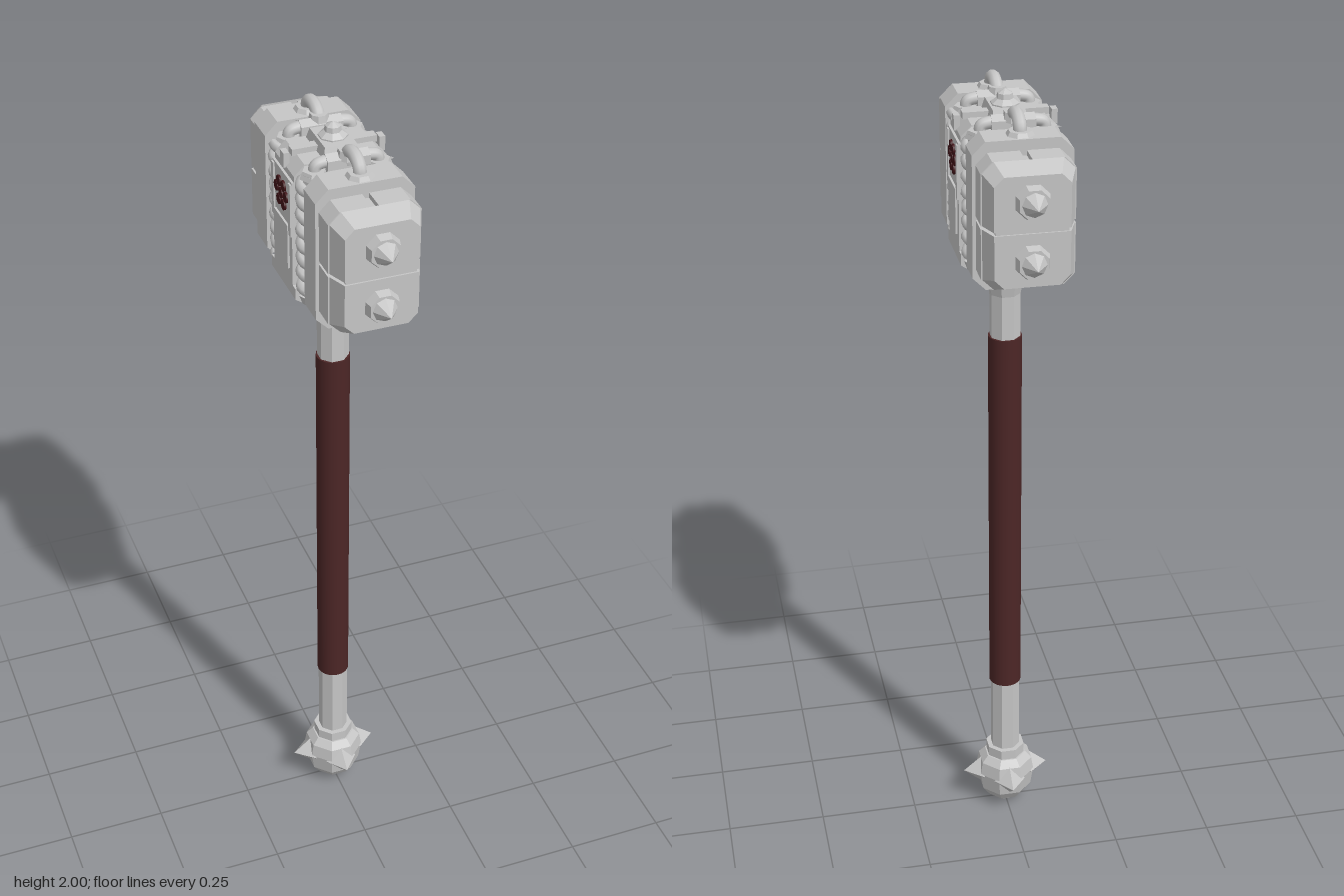
import * as THREE from 'three';

const metal = new THREE.MeshStandardMaterial({ color: 0xc6c6c6 });
metal.name = 'steel';
metal.flatShading = true;
const smoothMetal = metal.clone();
smoothMetal.flatShading = false;
smoothMetal.name = 'smoothSteel';
const leather = new THREE.MeshStandardMaterial({ color: 0x4c2626 });
leather.name = 'leather';
const emblemRed = new THREE.MeshStandardMaterial({ color: 0x421418 });
emblemRed.name = 'darkRed';

const MID = 1.775; // height of the middle of the head

function add(parent, name, geo, x = 0, y = 0, z = 0, mat = metal) {
  const m = new THREE.Mesh(geo, mat);
  m.name = name;
  m.position.set(x, y, z);
  parent.add(m);
  return m;
}
const box = (w, h, d) => new THREE.BoxGeometry(w, h, d);
// Upright prism with a flat side facing the front
const prism = (rTop, rBottom, h, n = 8) =>
  new THREE.CylinderGeometry(rTop, rBottom, h, n).rotateY(Math.PI / n);
const lathe = (pts, n) =>
  new THREE.LatheGeometry(pts.map(p => new THREE.Vector2(...p)), n).rotateY(Math.PI / n);

// Counter-clockwise chamfered rectangle
const octagon = (w, h, c) => [[w, -h + c], [w, h - c], [w - c, h], [-w + c, h],
  [-w, h - c], [-w, -h + c], [-w + c, -h], [w - c, -h]];
// Upper half of a chamfered rectangle, starting just above the middle gap
const half = (w, h, c) => [[w, 0.004], [w, h - c], [w - c, h], [-w + c, h], [-w, h - c], [-w, 0.004]];

// Solid through convex rings placed along z
function loft(rings) {
  const pos = [], idx = [], n = rings[0][1].length, last = (rings.length - 1) * n;
  rings.forEach(([z, pts]) => pts.forEach(p => pos.push(p[0], p[1], z)));
  for (let r = 0; r < rings.length - 1; r++) {
    for (let i = 0; i < n; i++) {
      const a = r * n + i, b = r * n + (i + 1) % n;
      idx.push(a, b, b + n, a, b + n, a + n);
    }
  }
  for (let i = 1; i < n - 1; i++) idx.push(0, i + 1, i, last, last + i, last + i + 1);
  const g = new THREE.BufferGeometry();
  g.setAttribute('position', new THREE.Float32BufferAttribute(pos, 3));
  g.setIndex(idx);
  const flat = g.toNonIndexed();
  flat.computeVertexNormals();
  return flat;
}
function extrude(pts, z0, z1) {
  const shape = new THREE.Shape(pts.map(p => new THREE.Vector2(...p)));
  return new THREE.ExtrudeGeometry(shape, { depth: z1 - z0, bevelEnabled: false }).translate(0, 0, z0);
}
function pipe(pts, r) {
  const curve = new THREE.CatmullRomCurve3(pts.map(p => new THREE.Vector3(...p)));
  return new THREE.TubeGeometry(curve, 24, r, 10);
}

class Helix extends THREE.Curve {
  constructor(radius, height, turns) {
    super();
    Object.assign(this, { radius, height, turns });
  }
  getPoint(t, v = new THREE.Vector3()) {
    const a = t * this.turns * Math.PI * 2;
    return v.set(Math.cos(a) * this.radius, t * this.height, Math.sin(a) * this.radius);
  }
}

function makeHandle() {
  const g = new THREE.Group();
  g.name = 'handle';
  add(g, 'shaft', prism(0.038, 0.038, 1.42), 0, 0.87);
  add(g, 'grip', new THREE.CylinderGeometry(0.041, 0.041, 1.0, 24), 0, 0.888, 0, leather);
  add(g, 'upperCollar', lathe([[0.038, 1.5], [0.043, 1.525], [0.054, 1.54], [0.054, 1.565],
    [0.062, 1.575], [0.062, 1.6]], 8));
  add(g, 'lowerCollar', prism(0.051, 0.051, 0.03), 0, 0.165);
  add(g, 'pommel', lathe([[0, 0], [0.026, 0.003], [0.032, 0.014], [0.05, 0.022], [0.07, 0.05],
    [0.078, 0.1], [0.072, 0.135], [0.055, 0.153], [0, 0.155]], 8));
  for (let i = 0; i < 4; i++) {
    const pivot = new THREE.Group();
    pivot.name = 'pommelSpike';
    pivot.rotation.y = i * Math.PI / 2;
    g.add(pivot);
    add(pivot, 'spike', new THREE.ConeGeometry(0.042, 0.05, 4).rotateX(Math.PI / 2), 0, 0.097, 0.088);
  }
  return g;
}

// One striking end of the head, facing +z
function makeEnd() {
  const g = new THREE.Group();
  g.name = 'strikingEnd';
  add(g, 'band', loft([[0.13, octagon(0.115, 0.175, 0.03)], [0.202, octagon(0.115, 0.175, 0.03)]]), 0, MID);

  // Two halves with a gap between them and a slot along the outer face
  const slotted = half(0.107, 0.15, 0.026);
  slotted.splice(3, 0, [0.008, 0.15], [0.008, 0.138], [-0.008, 0.138], [-0.008, 0.15]);
  for (const turn of [0, Math.PI]) {
    add(g, 'blockHalf', extrude(slotted, 0.2, 0.26), 0, MID).rotation.z = turn;
    add(g, 'faceHalf', loft([[0.26, half(0.104, 0.15, 0.026)],
      [0.306, half(0.086, 0.13, 0.022)]]), 0, MID).rotation.z = turn;
  }
  add(g, 'blockCore', box(0.165, 0.2, 0.1), 0, MID, 0.252);

  // Spiked studs
  for (const y of [1.705, 1.845]) {
    add(g, 'studBase', prism(0.036, 0.042, 0.022).rotateX(Math.PI / 2), 0, y, 0.316);
    add(g, 'studSpike', new THREE.ConeGeometry(0.029, 0.038, 8).rotateX(Math.PI / 2), 0, y, 0.346);
  }

  // Spring coils beside the centre block
  for (const s of [-1, 1]) {
    add(g, 'coil', new THREE.TubeGeometry(new Helix(0.027, 0.29, 8), 128, 0.0135, 6),
      s * 0.08, 1.63, 0.09, smoothMetal);
    add(g, 'coilCore', prism(0.022, 0.022, 0.32, 6), s * 0.08, 1.77, 0.09);
    add(g, 'coilTop', prism(0.027, 0.034, 0.018, 6), s * 0.075, 1.928, 0.085);
    add(g, 'coilFoot', prism(0.036, 0.028, 0.022, 6), s * 0.078, 1.615, 0.09);
    add(g, 'sidePipe', pipe([[s * 0.03, 1.952, 0.085], [s * 0.055, 1.952, 0.085],
      [s * 0.071, 1.946, 0.085], [s * 0.075, 1.92, 0.085]], 0.0145), 0, 0, 0, smoothMetal);
  }
  add(g, 'pipeFitting', prism(0.022, 0.022, 0.1, 6).rotateZ(Math.PI / 2), 0, 1.948, 0.085);
  add(g, 'pipeSocket', prism(0.021, 0.025, 0.022), 0, 1.966, 0.09);
  add(g, 'topPipe', pipe([[0, 1.945, 0.168], [0, 1.967, 0.165], [0, 1.981, 0.146],
    [0, 1.981, 0.112], [0, 1.97, 0.095], [0, 1.945, 0.09]], 0.0155), 0, 0, 0, smoothMetal);
  add(g, 'pipeFlange', prism(0.027, 0.034, 0.012), 0, 1.954, 0.167);
  return g;
}

function makeCentre() {
  const g = new THREE.Group();
  g.name = 'headCentre';
  add(g, 'innerBody', box(0.13, 0.3, 0.3), 0, MID);
  add(g, 'centreBlock', loft([[-0.063, octagon(0.114, 0.165, 0.025)], [0.063, octagon(0.114, 0.165, 0.025)]]), 0, MID);
  // Curved cradle below the head
  add(g, 'cradle', extrude([[-0.12, 1.64], [-0.12, 1.612], [-0.09, 1.592], [-0.045, 1.578],
    [0.045, 1.578], [0.09, 1.592], [0.12, 1.612], [0.12, 1.64]], -0.082, 0.082));

  // Raised cap, strap and finial
  add(g, 'topCap', prism(0.052, 0.062, 0.03, 4), 0, 1.95).scale.set(1, 1, 1.35);
  add(g, 'topStrap', box(0.2, 0.016, 0.024), 0, 1.945);
  add(g, 'finial', lathe([[0.034, 1.95], [0.034, 1.968], [0.02, 1.978], [0.018, 1.99], [0, 2.0]], 8));

  // Side plates, lower panels and petal emblems
  const petals = [[0, 0], [-0.031, 0.004], [0.031, 0.004], [-0.014, 0.024], [0.014, 0.024],
    [-0.015, -0.022], [0.015, -0.022]];
  for (const s of [-1, 1]) {
    add(g, 'strapEnd', box(0.014, 0.035, 0.024), s * 0.113, 1.93);
    add(g, 'sidePlate', box(0.008, 0.27, 0.126), s * 0.116, 1.765);
    add(g, 'lowerPanel', box(0.006, 0.11, 0.09), s * 0.122, 1.73);
    for (const e of [-1, 1]) add(g, 'plateEdge', box(0.008, 0.13, 0.014), s * 0.12, 1.83, e * 0.056);
    for (const [z, y] of petals) {
      add(g, 'emblemPetal', new THREE.CylinderGeometry(0.013, 0.013, 0.008, 10).rotateZ(Math.PI / 2),
        s * 0.121, 1.845 + y, z, emblemRed);
    }
  }
  return g;
}

export function createModel() {
  const model = new THREE.Group();
  model.name = 'warHammer';
  const back = makeEnd();
  back.rotation.y = Math.PI;
  model.add(makeHandle(), makeCentre(), makeEnd(), back);
  return model;
}
